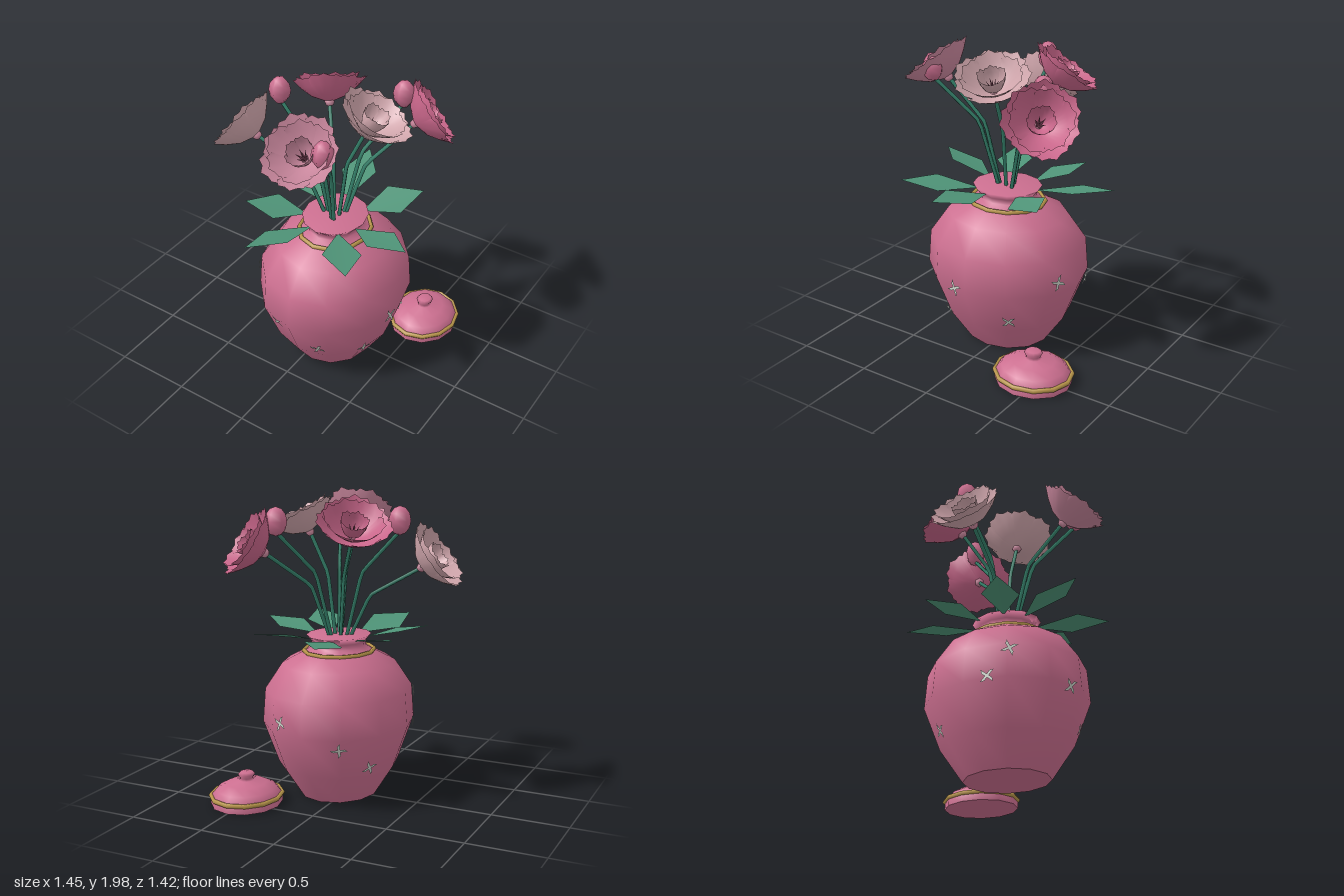
import * as THREE from 'three';
import { mergeGeometries } from 'three/addons/utils/BufferGeometryUtils.js';

const mat = (name, color, side = THREE.FrontSide) => {
  const m = new THREE.MeshStandardMaterial({ color, side });
  m.name = name;
  return m;
};
const V = (x, y, z) => new THREE.Vector3(x, y, z);
const SQUASH = 0.9; // pottery is slightly oval
const CX = 0.07, CZ = 0.025; // vase axis

export function createModel() {
  const root = new THREE.Group();
  const D = THREE.DoubleSide;
  const pink = mat('glazePink', 0xcc6f90);
  const gold = mat('gold', 0xb8954a);
  const stemGreen = mat('stemGreen', 0x35806a);
  const leafGreen = mat('leafGreen', 0x4f9478, D);
  const deepPetal = mat('deepPinkPetal', 0xc8668a, D);
  const midPetal = mat('softPinkPetal', 0xc9879d, D);
  const palePetal = mat('palePetal', 0xd0a6ac, D);
  const stamenMat = mat('stamenPink', 0x96546c);
  const white = mat('starWhite', 0xccd2c9, D);

  const add = (parent, name, geo, material) => {
    const m = new THREE.Mesh(geo, material);
    m.name = name;
    parent.add(m);
    return m;
  };
  const group = (name, x, y, z) => {
    const g = new THREE.Group();
    g.name = name;
    g.position.set(x, y, z);
    root.add(g);
    return g;
  };

  // Twelve-sided turned pottery with a base disc and a gold ring
  const pottery = (name, x, z, pts, ringR, ringY) => {
    const g = group(name, x, 0, z);
    g.scale.x = SQUASH;
    add(g, name + 'Body', new THREE.LatheGeometry(pts.map(p => new THREE.Vector2(...p)), 12), pink);
    add(g, name + 'Base', new THREE.CircleGeometry(pts[0][0], 12).rotateX(Math.PI / 2), pink);
    add(g, name + 'Ring', new THREE.TorusGeometry(ringR, 0.015, 6, 12).rotateX(Math.PI / 2), gold).position.y = ringY;
  };
  const profile = [[0.283, 0], [0.43, 0.21], [0.54, 0.49], [0.522, 0.71], [0.4, 0.88], [0.245, 0.955],
    [0.19, 0.985], [0.195, 1.02], [0.23, 1.06], [0, 1.06]];
  pottery('vase', CX, CZ, profile, 0.25, 0.955);
  pottery('lid', 0.5, -0.457, [[0.25, 0], [0.25, 0.055], [0.21, 0.1], [0.14, 0.135], [0.05, 0.15],
    [0.045, 0.165], [0.06, 0.19], [0.045, 0.205], [0, 0.205]], 0.25, 0.055);

  // Four-pointed stars lying on the vase wall: [angle, height]
  const starShape = new THREE.Shape();
  for (let i = 0; i < 12; i++) {
    const k = i % 3, r = [0.058, 0.036, 0.012][k];
    const a = Math.floor(i / 3) * Math.PI / 2 + [0, 0.42, 0.85][k];
    starShape[i ? 'lineTo' : 'moveTo'](r * Math.cos(a), r * Math.sin(a));
  }
  const starGeo = new THREE.ShapeGeometry(starShape);
  [[148, 0.67], [102, 0.48], [69, 0.3], [28, 0.26], [9, 0.49], [-32, 0.3], [-69, 0.56],
    [-118, 0.43], [-145, 0.28], [163, 0.5]].forEach(([deg, y], i) => {
    const k = profile.findIndex(p => p[1] > y);
    const [r0, y0] = profile[k - 1], [r1, y1] = profile[k];
    const facet = THREE.MathUtils.degToRad(((deg % 30) + 30) % 30 - 15);
    const r = THREE.MathUtils.lerp(r0, r1, (y - y0) / (y1 - y0)) * Math.cos(Math.PI / 12) / Math.cos(facet);
    const a = THREE.MathUtils.degToRad(deg);
    const n = V(Math.cos(a) / SQUASH, -(r1 - r0) / (y1 - y0), Math.sin(a)).normalize();
    const star = add(root, 'vaseStar', starGeo, white);
    star.position.set(CX + r * SQUASH * Math.cos(a), y, CZ + r * Math.sin(a)).addScaledVector(n, 0.014);
    star.lookAt(star.position.clone().add(n));
    star.rotateZ(0.3 + i * 0.4);
  });

  // Diamond leaves round the neck: [angle, tip radius, twist]
  [[13.6, 0.62, 0.01], [51.6, 0.68, 0.01], [109.5, 0.69, -0.03], [153, 0.58, 0.01],
    [210, 0.58, 0.015], [256, 0.71, 0.015], [309, 0.6, -0.025]].forEach(([deg, tip, twist]) => {
    const geo = new THREE.BufferGeometry();
    const mid = tip * 0.66;
    geo.setAttribute('position', new THREE.Float32BufferAttribute([
      0.18, 1.04, 0, mid, 1.085 + twist, 0.12, tip, 1.11, 0, mid, 1.085 - twist, -0.12], 3));
    geo.setIndex([0, 1, 2, 0, 2, 3]);
    geo.computeVertexNormals();
    const leaf = add(root, 'leaf', geo, leafGreen);
    leaf.position.set(CX, 0, CZ);
    leaf.rotation.y = -THREE.MathUtils.degToRad(deg);
  });

  // Bent stem from the vase mouth to a flower head
  const stem = end => {
    const at = (t, y) => V(THREE.MathUtils.lerp(CX, end.x, t), y, THREE.MathUtils.lerp(CZ, end.z, t));
    const a = at(0.1, 1.0), b = at(0.38, 1.0 + (end.y - 1.0) * 0.63);
    const path = new THREE.CurvePath();
    path.add(new THREE.LineCurve3(a, b.clone().lerp(a, 0.08)));
    path.add(new THREE.QuadraticBezierCurve3(b.clone().lerp(a, 0.08), b, b.clone().lerp(end, 0.08)));
    path.add(new THREE.LineCurve3(b.clone().lerp(end, 0.08), end));
    add(root, 'stem', new THREE.TubeGeometry(path, 14, 0.013, 5), stemGreen);
  };

  // One petal: a strip of bowl with a toothed rim
  const petal = (prof, angle, width, size) => {
    const U = 6, teeth = [0.86, 0.95, 0.93, 1.02, 0.94, 0.98, 0.86], pos = [], idx = [];
    prof.forEach(([r, h], v) => {
      for (let u = 0; u <= U; u++) {
        const s = (v === prof.length - 1 ? teeth[u] : 1) * size;
        const a = angle + (u / U - 0.5) * width;
        pos.push(r * s * Math.cos(a), h * s, r * s * Math.sin(a));
        if (v && u) {
          const q = v * (U + 1) + u, p = q - U - 1;
          idx.push(p - 1, q - 1, p, p, q - 1, q);
        }
      }
    });
    const g = new THREE.BufferGeometry();
    g.setAttribute('position', new THREE.Float32BufferAttribute(pos, 3));
    g.setIndex(idx);
    g.computeVertexNormals();
    return g;
  };
  // Layers: outer bowl, middle bowl, steep inner cup
  const layers = [
    { n: 7, w: 1.05, p: [[0.015, 0], [0.11, 0.035], [0.18, 0.09], [0.24, 0.15]] },
    { n: 6, w: 1.2, p: [[0.015, 0.01], [0.095, 0.055], [0.155, 0.115], [0.2, 0.17]] },
    { n: 5, w: 1.35, p: [[0.02, 0.02], [0.06, 0.06], [0.08, 0.11], [0.09, 0.16]] },
  ];
  const petals = mergeGeometries(layers.flatMap(({ n, w, p }, l) => Array.from({ length: n }, (_, i) =>
    petal(p, i / n * Math.PI * 2 + l * 0.4, w, 1 - 0.05 * (i % 2)))));
  const stamens = mergeGeometries(Array.from({ length: 7 }, (_, i) =>
    new THREE.ConeGeometry(0.009, 0.09, 4).translate(0, 0.065, 0).rotateZ(i ? -0.35 : 0).rotateY(i * 1.05)));

  // Open flowers: base point, facing direction, colour
  [[V(-0.46, 1.515, 0.12), V(-0.81, 0.58, 0.06), palePetal],
    [V(-0.125, 1.71, -0.2), V(-0.35, 0.8, -0.45), deepPetal],
    [V(0.135, 1.72, 0.43), V(0.1, 0.79, 0.61), midPetal],
    [V(0.26, 1.72, -0.01), V(0.42, 0.88, -0.16), palePetal],
    [V(0.375, 1.62, -0.4), V(0.64, 0.54, -0.55), deepPetal]].forEach(([base, dir, material], i) => {
    stem(base);
    const g = group('flower', base.x, base.y, base.z);
    g.quaternion.setFromUnitVectors(V(0, 1, 0), dir.normalize());
    g.rotateY(i * 0.7);
    add(g, 'petals', petals, material);
    add(g, 'stamens', stamens, stamenMat);
    add(g, 'calyx', new THREE.SphereGeometry(0.032, 6, 4), midPetal);
  });

  // Closed buds
  [[-0.36, 0], [0.265, 0.45], [0.3, -0.385]].forEach(([x, z]) => {
    stem(V(x, 1.75, z));
    const bud = add(root, 'bud', new THREE.SphereGeometry(0.07, 6, 6), pink);
    bud.position.set(x, 1.815, z);
    bud.scale.y = 1.3;
    bud.rotation.y = Math.PI / 6;
  });
  return root;
}
